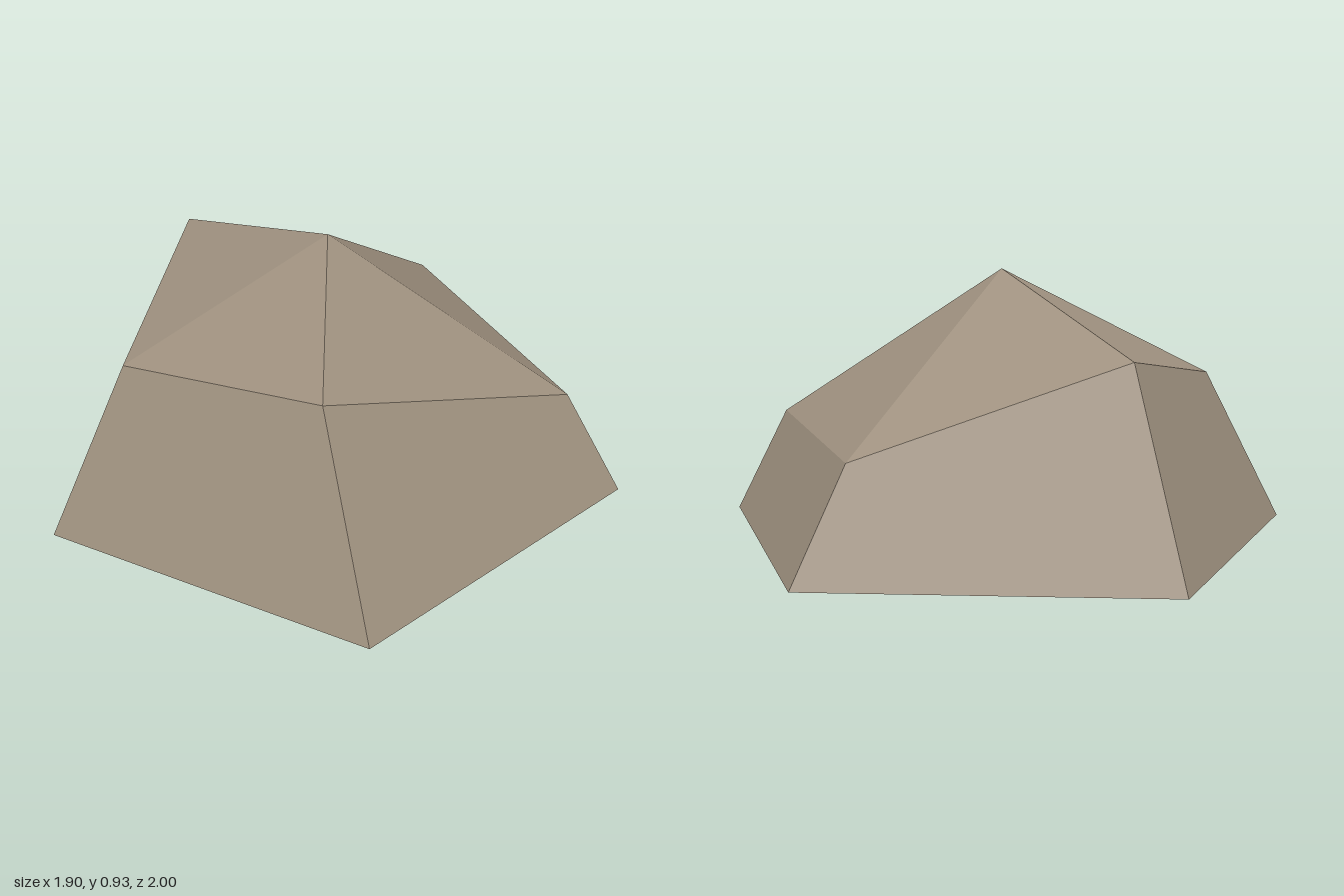
import * as THREE from 'three';

const stone = new THREE.MeshStandardMaterial({ color: 0xa09280, side: THREE.DoubleSide });
stone.name = 'warm grey stone';

const SIDES = 5;
const CENTRE_X = -0.104;
const RADIUS = 1.051;

// One flat-shaded mesh from polygons; each polygon gets a single averaged normal.
function facetMesh(name, polygons) {
  const positions = [];
  const normals = [];
  for (const p of polygons) {
    const last = p[p.length - 1];
    const normal = new THREE.Vector3().crossVectors(
      p[p.length - 2].clone().sub(p[0]).add(p[1].clone().sub(last).multiplyScalar(p.length === 4 ? 0 : 1)),
      last.clone().sub(p[1])
    );
    if (p.length === 3) normal.crossVectors(p[1].clone().sub(p[0]), p[2].clone().sub(p[0]));
    normal.normalize();
    const triangles = p.length === 4 ? [0, 1, 3, 1, 2, 3] : [0, 1, 2];
    for (const i of triangles) {
      positions.push(...p[i].toArray());
      normals.push(...normal.toArray());
    }
  }
  const geometry = new THREE.BufferGeometry();
  geometry.setAttribute('position', new THREE.Float32BufferAttribute(positions, 3));
  geometry.setAttribute('normal', new THREE.Float32BufferAttribute(normals, 3));
  const mesh = new THREE.Mesh(geometry, stone);
  mesh.name = name;
  return mesh;
}

export function createModel() {
  const group = new THREE.Group();
  group.name = 'rock';

  // Regular pentagon on the ground, uneven shoulder ring and a single peak
  const base = Array.from({ length: SIDES }, (_, k) => {
    const a = (k / SIDES) * Math.PI * 2;
    return new THREE.Vector3(CENTRE_X + RADIUS * Math.cos(a), 0, RADIUS * Math.sin(a));
  });
  const shoulder = [
    [0.742, 0.382, 0],
    [0.022, 0.727, 0.727],
    [-0.744, 0.556, 0.36],
    [-0.72, 0.697, -0.45],
    [0.108, 0.382, -0.815],
  ].map((p) => new THREE.Vector3(...p));
  const peak = new THREE.Vector3(CENTRE_X, 0.932, 0);

  const walls = [];
  const crown = [];
  for (let k = 0; k < SIDES; k++) {
    const n = (k + 1) % SIDES;
    walls.push([base[k], shoulder[k], shoulder[n], base[n]]);
    crown.push([shoulder[k], peak, shoulder[n]]);
  }

  // Sloping sides, open underneath, and the faceted top
  group.add(facetMesh('rockSides', walls), facetMesh('rockTop', crown));
  return group;
}
